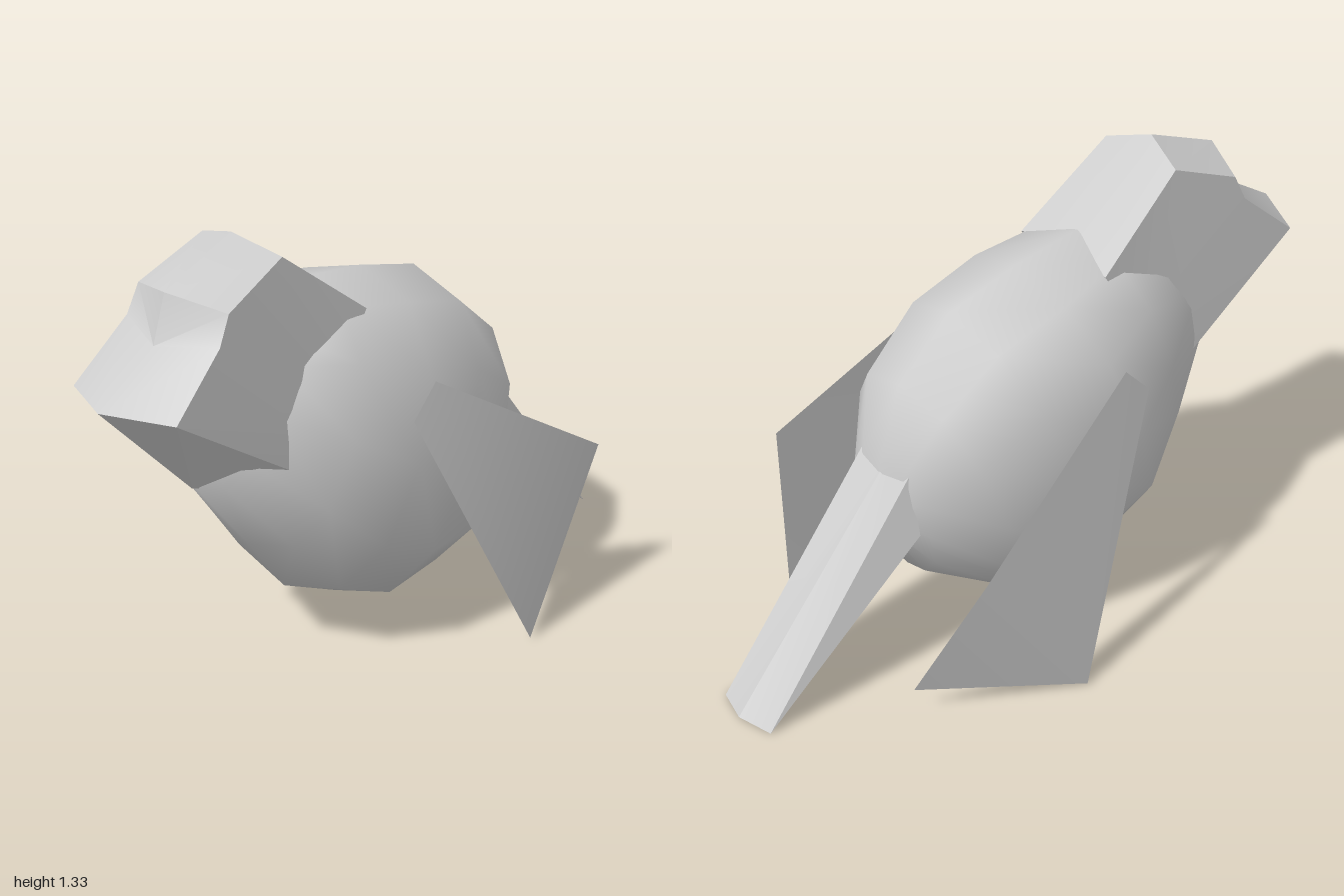
import * as THREE from 'three';
import { toCreasedNormals } from 'three/addons/utils/BufferGeometryUtils.js';

const material = new THREE.MeshStandardMaterial({ color: 0xcccccc });
const thinMaterial = new THREE.MeshStandardMaterial({ color: 0xcccccc, side: THREE.DoubleSide });

function geometryFrom(positions, index) {
  const g = new THREE.BufferGeometry();
  g.setAttribute('position', new THREE.Float32BufferAttribute(positions, 3));
  if (index) g.setIndex(index);
  g.computeVertexNormals();
  return g;
}

function addMesh(parent, name, geometry, mat = material) {
  const mesh = new THREE.Mesh(geometry, mat);
  mesh.name = name;
  parent.add(mesh);
}

// Triangles for the +x half, mirrored to -x with reversed corners
function mirrored(triangles, crease) {
  const pos = [];
  for (const [a, b, c] of triangles) {
    pos.push(...a, ...b, ...c);
    for (const p of [a, c, b]) pos.push(-p[0], p[1], p[2]);
  }
  return toCreasedNormals(geometryFrom(pos), crease);
}

// Egg-shaped body: tilted rings from rear to neck
function bodyGeometry() {
  // top z, top y, bottom z, bottom y, half width
  const rings = [
    [-0.50, 0.46, -0.50, 0.45, 0.005],
    [-0.48, 0.65, -0.40, 0.26, 0.17],
    [-0.41, 0.86, -0.13, 0.10, 0.31],
    [-0.23, 1.02, 0.11, 0.09, 0.355],
    [0.00, 1.085, 0.33, 0.20, 0.365],
    [0.23, 1.12, 0.47, 0.39, 0.29],
    [0.42, 1.08, 0.67, 0.645, 0.17],
    [0.54, 0.86, 0.55, 0.85, 0.005],
  ];
  const sides = 12, pos = [], index = [];
  const round = v => Math.sign(v) * Math.abs(v) ** 0.9;
  rings.forEach(([tz, ty, bz, by, w], i) => {
    for (let j = 0; j < sides; j++) {
      const a = (j / sides) * Math.PI * 2;
      const k = (1 + round(Math.cos(a))) / 2;
      pos.push(w * round(Math.sin(a)), by + (ty - by) * k, bz + (tz - bz) * k);
      if (i === rings.length - 1) continue;
      const p = i * sides + j, q = i * sides + ((j + 1) % sides);
      index.push(p, p + sides, q, q, p + sides, q + sides);
    }
  });
  return geometryFrom(pos, index);
}

// Head with beak: side outline joined to a centre ridge
function headGeometry() {
  const side = [
    [0.18, 1.06, 0.18], [0.145, 1.285, 0.47], [0.165, 1.20, 0.69], [0.17, 1.12, 0.73],
    [0.19, 0.97, 0.91], [0.20, 0.635, 0.41], [0.19, 0.83, 0.34],
  ];
  const ridge = [
    [0, 1.10, 0.21], [0, 1.33, 0.51], [0, 1.235, 0.755], [0, 1.10, 0.80],
    [0, 0.98, 1.0], [0, 0.645, 0.68], [0, 0.83, 0.34],
  ];
  const tris = [], n = side.length;
  for (let i = 0; i < n; i++) {
    const k = (i + 1) % n;
    tris.push([side[i], ridge[i], ridge[k]], [side[i], ridge[k], side[k]]);
    if (i < n - 2) tris.push([side[n - 1], side[i], side[i + 1]]);
  }
  return mirrored(tris, 0.7);
}

// Wedge tail tapering to a thin tip
function tailGeometry() {
  const top = [0, 0.66, -0.44], edge = [0.105, 0.64, -0.46], low = [0.145, 0.46, -0.46];
  const lowMid = [0, 0.47, -0.45], tipEdge = [0.11, 0.005, -0.97], tip = [0, 0.01, -1];
  return mirrored([
    [top, edge, tipEdge], [top, tipEdge, tip],
    [edge, low, tipEdge],
    [low, lowMid, tipEdge], [lowMid, tip, tipEdge],
    [top, lowMid, edge], [edge, lowMid, low],
  ], 0.4);
}

// Thin folded wing sheet
function wingGeometry(s) {
  const points = [
    [0.36, 0.78, 0.19], [0.36, 0.87, 0.10], [0.485, 0.50, -0.50],
    [0.295, 0.085, -0.61], [0.515, 0.01, -0.16],
  ];
  const faces = [[0, 4, 1], [1, 4, 2], [2, 4, 3]];
  const pos = points.flatMap(([x, y, z]) => [s * x, y, z]);
  return geometryFrom(pos, faces.flatMap(([a, b, c]) => (s > 0 ? [a, b, c] : [a, c, b])));
}

export function createModel() {
  const bird = new THREE.Group();
  bird.name = 'bird';
  addMesh(bird, 'body', bodyGeometry());
  addMesh(bird, 'head', headGeometry());
  addMesh(bird, 'tail', tailGeometry());
  addMesh(bird, 'leftWing', wingGeometry(1), thinMaterial);
  addMesh(bird, 'rightWing', wingGeometry(-1), thinMaterial);
  return bird;
}
